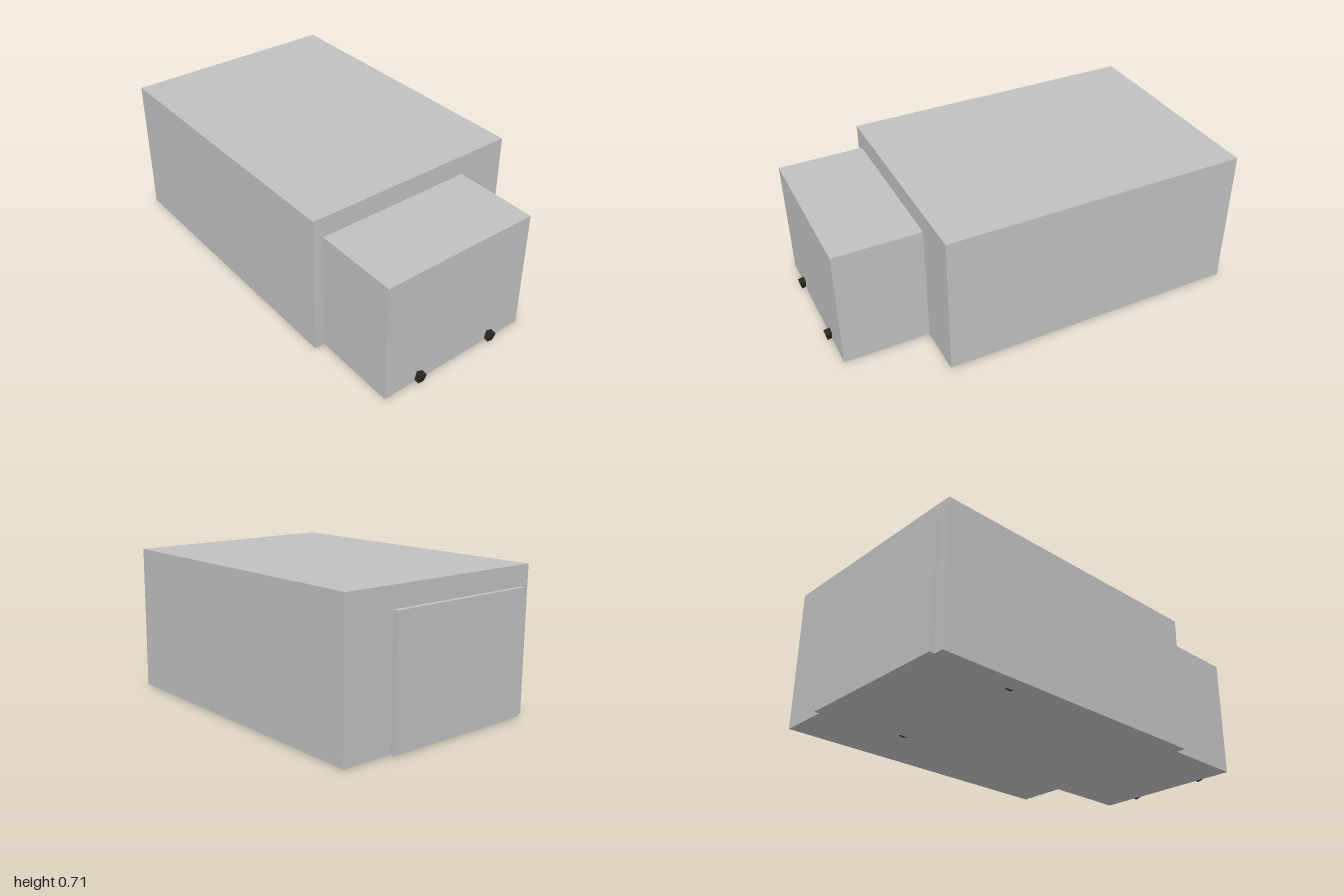
import * as THREE from 'three';

export function createModel() {
  const model = new THREE.Group();
  const grey = new THREE.MeshStandardMaterial({ color: 0xc0c0c0 });
  grey.name = 'light grey';
  const dark = new THREE.MeshStandardMaterial({ color: 0x2b261c });
  dark.name = 'dark brown';

  // Box given by its minimum and maximum corners
  function block(name, min, max) {
    const size = max.map((v, i) => v - min[i]);
    const mesh = new THREE.Mesh(new THREE.BoxGeometry(...size), grey);
    mesh.position.set(...max.map((v, i) => (v + min[i]) / 2));
    mesh.name = name;
    model.add(mesh);
  }

  // Wide outer body and the off-centre core that runs through it
  block('outerBody', [-0.555, 0.005, -0.975], [0.555, 0.712, 0.54]);
  block('innerCore', [-0.505, 0.005, -1], [0.3, 0.612, 0.967]);

  // Small tilted blocks on the front face
  for (const x of [-0.315, 0.11]) {
    const stud = new THREE.Mesh(new THREE.BoxGeometry(0.034, 0.042, 0.04), dark);
    stud.position.set(x, 0.032, 0.974);
    stud.rotation.set(0.2, 0, -0.28);
    stud.name = 'frontStud';
    model.add(stud);
  }

  // Thin rollers just breaking through the underside
  for (const x of [-0.465, 0.262]) {
    const roller = new THREE.Mesh(new THREE.CylinderGeometry(0.05, 0.05, 0.006, 24), dark);
    roller.position.set(x, 0.05, -0.545);
    roller.rotation.z = Math.PI / 2;
    roller.name = 'undersideRoller';
    model.add(roller);
  }
  return model;
}
